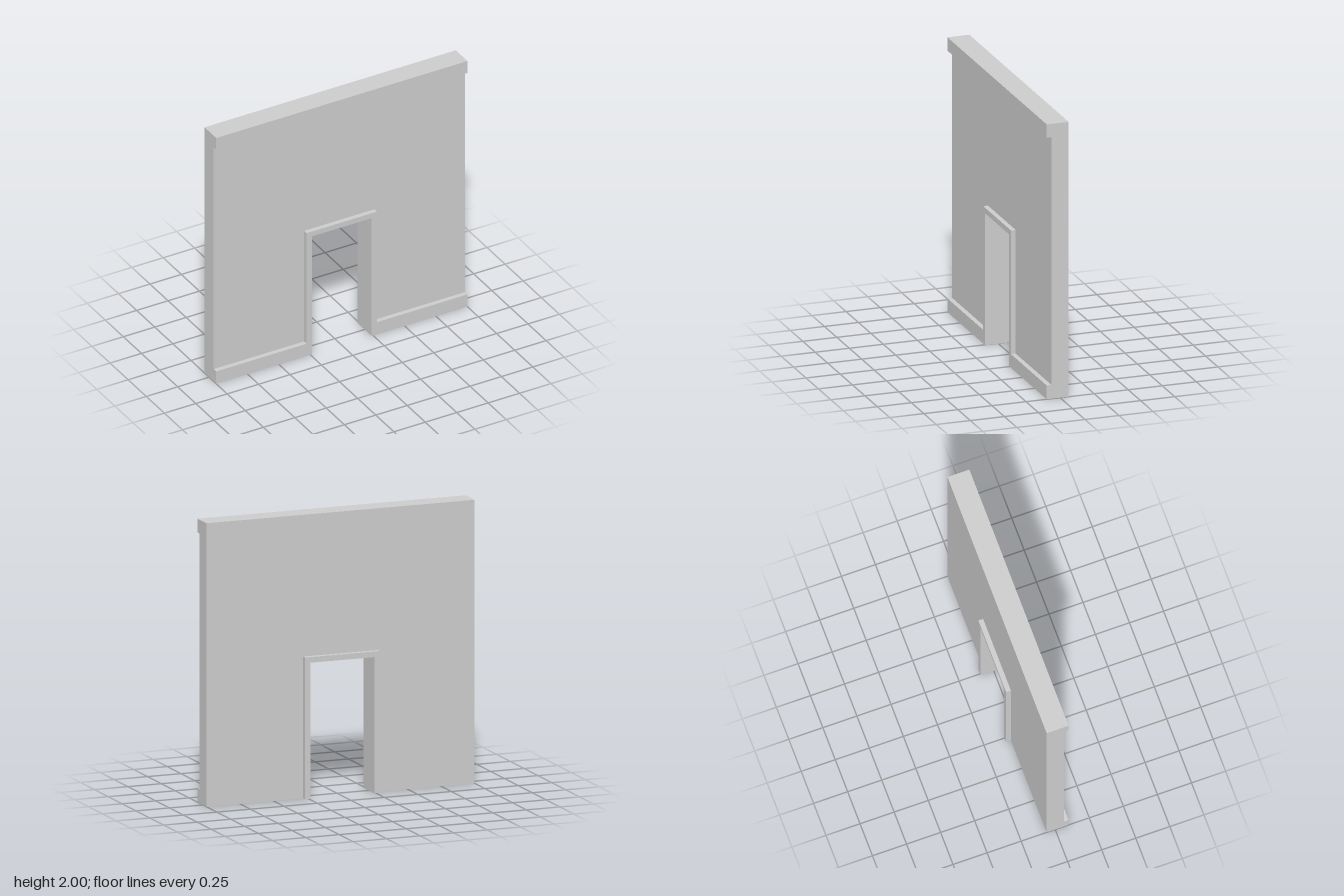
import * as THREE from 'three';

const WALL = 0.063;   // half thickness of the wall
const TRIM = 0.098;   // half depth of the door frame, front of the mouldings
const OUT_X = 0.28, OUT_Y = 1.0;   // outer edge of the door frame
const IN_X = 0.238, IN_Y = 0.96;   // clear opening

const material = new THREE.MeshStandardMaterial({ color: 0xcccccc, flatShading: true });

// Upside-down U outline, extruded evenly about z = 0
function arch(name, outerX, outerY, innerX, innerY, halfDepth) {
  const shape = new THREE.Shape([
    [-outerX, 0], [-innerX, 0], [-innerX, innerY], [innerX, innerY],
    [innerX, 0], [outerX, 0], [outerX, outerY], [-outerX, outerY],
  ].map(([x, y]) => new THREE.Vector2(x, y)));
  const geometry = new THREE.ExtrudeGeometry(shape, { depth: 2 * halfDepth, bevelEnabled: false });
  geometry.translate(0, 0, -halfDepth);
  const mesh = new THREE.Mesh(geometry, material);
  mesh.name = name;
  return mesh;
}

// Strip standing proud of the front of the wall
function moulding(name, x0, x1, y0, y1) {
  const mesh = new THREE.Mesh(new THREE.BoxGeometry(x1 - x0, y1 - y0, TRIM - WALL), material);
  mesh.position.set((x0 + x1) / 2, (y0 + y1) / 2, (WALL + TRIM) / 2);
  mesh.name = name;
  return mesh;
}

export function createModel() {
  const group = new THREE.Group();
  group.name = 'wallWithDoorway';

  // Wall panel and the frame lining its doorway
  group.add(arch('wall', 1, 2, OUT_X, OUT_Y, WALL));
  group.add(arch('doorFrame', OUT_X, OUT_Y, IN_X, IN_Y, TRIM));

  // Cornice along the top, skirting either side of the doorway
  group.add(moulding('cornice', -1, 1, 1.903, 2));
  group.add(moulding('leftSkirting', OUT_X, 1, 0, 0.1));
  group.add(moulding('rightSkirting', -1, -OUT_X, 0, 0.1));

  return group;
}
